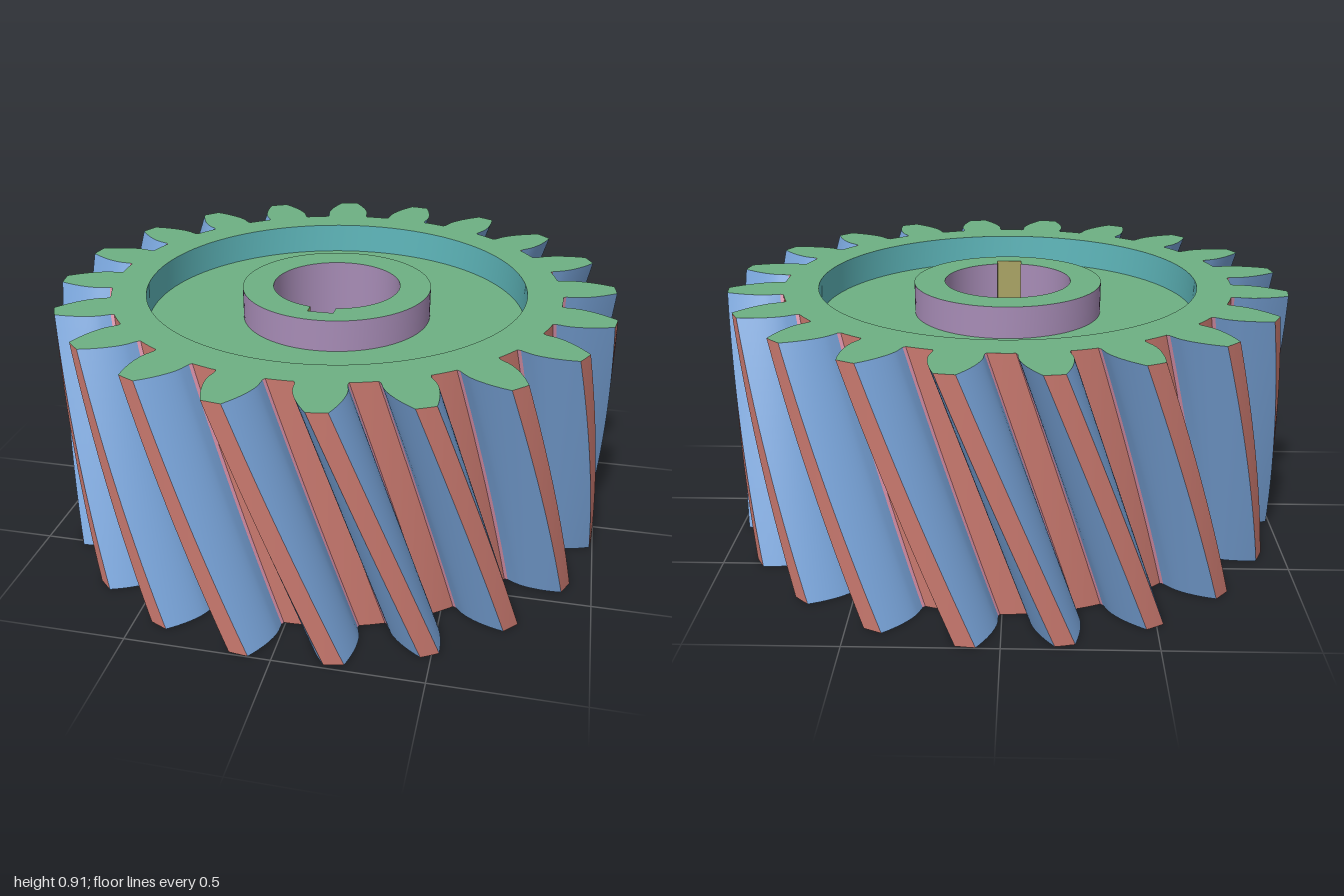
import * as THREE from 'three';
import { mergeGeometries } from 'three/addons/utils/BufferGeometryUtils.js';

const TEETH = 20, H = 0.907, TWIST = 0.361, PITCH = (2 * Math.PI) / TEETH;
const TIP = 1, ROOT = 0.807, BASE = 0.852, PITCH_R = 0.914;
const RECESS = 0.683, HUB = 0.34, BORE = 0.229, KEY_W = 0.045, KEY_Z = 0.268, DEPTH = 0.112;

// angle is measured from +z towards +x
const polar = (r, a) => [r * Math.sin(a), r * Math.cos(a)];
const arc = (r, a0, a1, n) => Array.from({ length: n + 1 }, (_, i) => polar(r, a0 + ((a1 - a0) * i) / n));
const turn = ([x, z], t) => [x * Math.cos(t) + z * Math.sin(t), z * Math.cos(t) - x * Math.sin(t)];

// Smooth upright wall over a path of [x, z] points, optionally twisted about y
function wall(path, y0 = 0, y1 = H, twist = 0, steps = 1) {
  const pos = [], index = [], n = path.length;
  for (let j = 0; j <= steps; j++) {
    const t = j / steps;
    for (const p of path) {
      const [x, z] = turn(p, twist * (1 - t));
      pos.push(x, y0 + (y1 - y0) * t, z);
    }
  }
  for (let j = 0; j < steps; j++) {
    for (let i = 0; i < n - 1; i++) {
      const a = j * n + i, d = a + n;
      index.push(a, a + 1, d + 1, a, d + 1, d);
    }
  }
  const g = new THREE.BufferGeometry();
  g.setAttribute('position', new THREE.Float32BufferAttribute(pos, 3));
  g.setIndex(index);
  g.computeVertexNormals();
  return g;
}

// Flat horizontal face with a hole, facing up or down
function face(outline, hole, y, up) {
  const s = up ? -1 : 1;
  const pts = (list) => list.map(([x, z]) => new THREE.Vector2(x, s * z));
  const shape = new THREE.Shape(pts(outline));
  shape.holes.push(new THREE.Path(pts(hole)));
  return new THREE.ShapeGeometry(shape).rotateX((s * Math.PI) / 2).translate(0, y, 0);
}

// Half angle of an involute tooth at radius r
const inv = (r) => {
  const a = Math.acos(Math.min(1, BASE / r));
  return Math.tan(a) - a;
};
const halfAngle = (r) => PITCH / 4 + inv(PITCH_R) - inv(r);

export function createModel() {
  const group = new THREE.Group();
  const add = (name, color, parts) => {
    const mesh = new THREE.Mesh(mergeGeometries(parts), new THREE.MeshStandardMaterial({ color }));
    mesh.name = name;
    group.add(mesh);
  };

  // Helical teeth: fillet, flank, tip land, flank, fillet, root land
  const flanks = [], lands = [], fillets = [], outline = [];
  const wide = halfAngle(BASE), foot = wide + 0.006;
  const side = [[0.818, wide]];
  for (let i = 0; i <= 8; i++) {
    const r = BASE + ((TIP - BASE) * i) / 8;
    side.push([r, halfAngle(r)]);
  }
  const tipHalf = halfAngle(TIP);
  for (let k = 0; k < TEETH; k++) {
    const c = (k + 0.5) * PITCH;
    const rising = side.map(([r, a]) => polar(r, c - a));
    const falling = side.map(([r, a]) => polar(r, c + a)).reverse();
    const tip = arc(TIP, c - tipHalf, c + tipHalf, 4);
    const root = arc(ROOT, c + foot, c + PITCH - foot, 4);
    const fillet1 = [polar(ROOT, c - foot), rising[0]];
    const fillet2 = [falling[falling.length - 1], polar(ROOT, c + foot)];
    const helix = (path) => wall(path, 0, H, TWIST, 24);
    flanks.push(helix(rising), helix(falling));
    lands.push(helix(tip), helix(root));
    fillets.push(helix(fillet1), helix(fillet2));
    outline.push(...rising, ...tip.slice(1), ...falling.slice(1), ...root);
  }
  add('toothFlanks', 0x7aa6dc, flanks);
  add('toothLands', 0xc8786e, lands);
  add('rootFillets', 0xd990a8, fillets);

  // Rim faces, recess floors and hub faces
  const key = Math.asin(KEY_W / BORE);
  const boreArc = arc(BORE, 2 * Math.PI - key, key, 72);
  const keyway = [boreArc[72], [KEY_W, KEY_Z], [-KEY_W, KEY_Z], boreArc[0]];
  const boreHole = [...boreArc, ...keyway.slice(1, 3)];
  const circle = (r) => arc(r, 0, 2 * Math.PI, 96).slice(0, -1);
  const faces = (y, floorY, up) => [
    face(up ? outline : outline.map((p) => turn(p, TWIST)), circle(RECESS), y, up),
    face(circle(RECESS), circle(HUB), floorY, up),
    face(circle(HUB), boreHole, y, up),
  ];
  add('topFaces', 0x6eb083, faces(H, H - DEPTH, true));
  add('bottomFaces', 0x8a6e44, faces(0, DEPTH, false));

  // Recess walls face inward, hub walls face outward, on both ends
  const spans = [[0, DEPTH], [H - DEPTH, H]];
  add('recessWalls', 0x5fb8bc, spans.map(([a, b]) => wall(arc(RECESS, 2 * Math.PI, 0, 96), a, b)));
  add('hubWalls', 0xa78cb6, spans.map(([a, b]) => wall(arc(HUB, 0, 2 * Math.PI, 96), a, b)));

  // Through bore and its keyway
  add('bore', 0xa78cb6, [wall(boreArc)]);
  add('keyway', 0xaaa565, [0, 1, 2].map((i) => wall(keyway.slice(i, i + 2))));
  return group;
}
